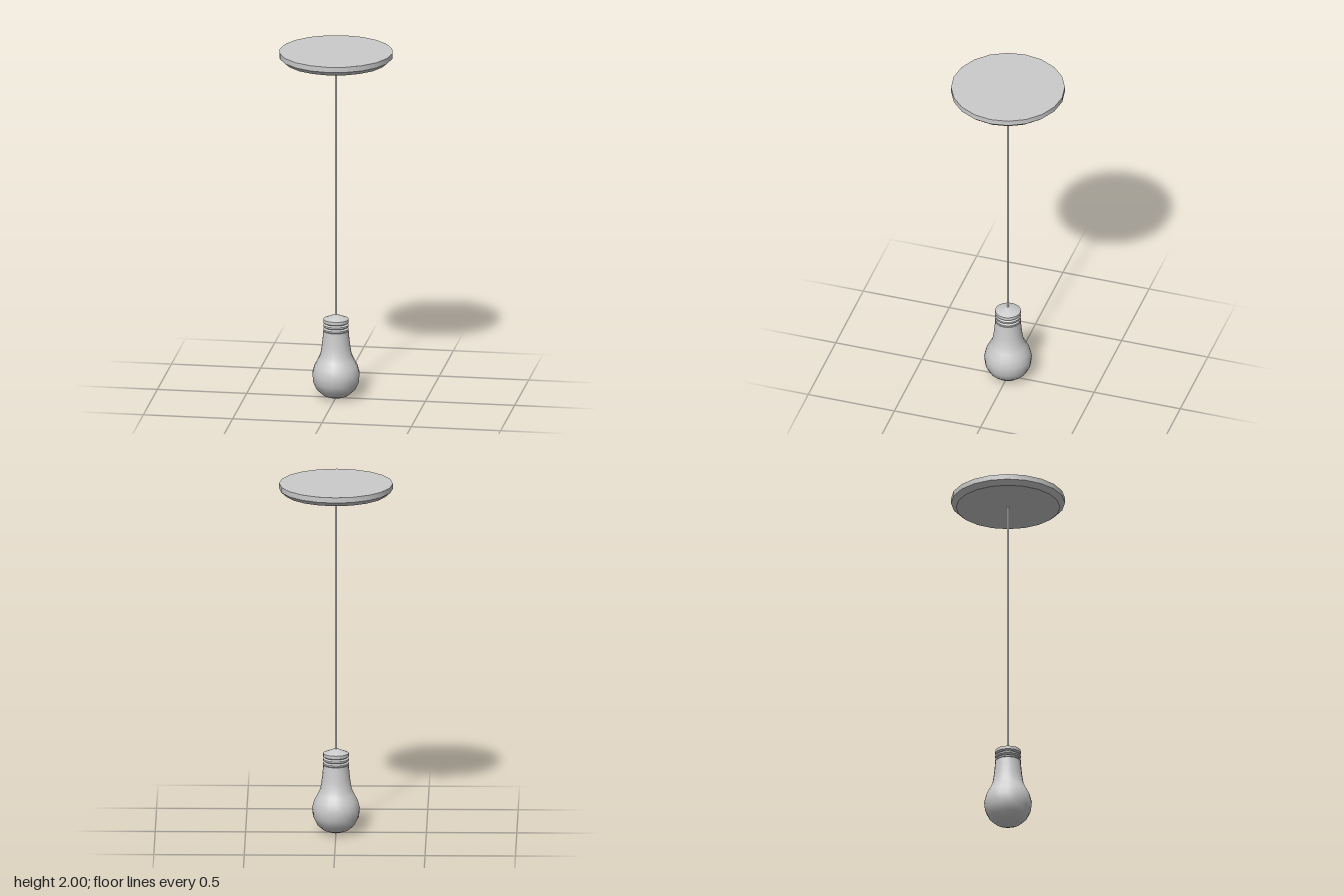
import * as THREE from 'three';
import { toCreasedNormals } from 'three/addons/utils/BufferGeometryUtils.js';

const material = new THREE.MeshStandardMaterial({ color: 0xcccccc });

// Turned part from [radius, y] pairs listed bottom to top
function turned(name, profile, sides, crease = 0.6) {
  const points = profile.map(([r, y]) => new THREE.Vector2(r, y));
  const geometry = toCreasedNormals(new THREE.LatheGeometry(points, sides), crease);
  const mesh = new THREE.Mesh(geometry, material);
  mesh.name = name;
  return mesh;
}

export function createModel() {
  const group = new THREE.Group();
  group.name = 'pendantLamp';

  // Ceiling plate with a bevelled lower edge
  group.add(turned('ceilingPlate', [
    [0, 1.945], [0.287, 1.945], [0.315, 1.97], [0.315, 2], [0, 2],
  ], 20));

  // Thin hanging cord
  const cord = new THREE.Mesh(new THREE.CylinderGeometry(0.006, 0.006, 1.48, 8), material);
  cord.name = 'cord';
  cord.position.y = 1.21;
  group.add(cord);

  // Screw socket: two ridges below a shallow conical cap
  group.add(turned('socket', [
    [0, 0.385], [0.062, 0.385], [0.071, 0.394], [0.071, 0.402],
    [0.06, 0.409], [0.071, 0.416], [0.071, 0.425],
    [0.06, 0.432], [0.071, 0.439], [0.071, 0.457],
    [0.012, 0.482], [0, 0.482],
  ], 20));

  // Glass bulb
  group.add(turned('bulb', [
    [0, 0.004], [0.035, 0.007], [0.073, 0.022], [0.106, 0.052],
    [0.127, 0.095], [0.132, 0.145], [0.121, 0.188], [0.102, 0.223],
    [0.087, 0.255], [0.079, 0.305], [0.074, 0.35], [0.071, 0.39], [0, 0.39],
  ], 20));

  return group;
}
